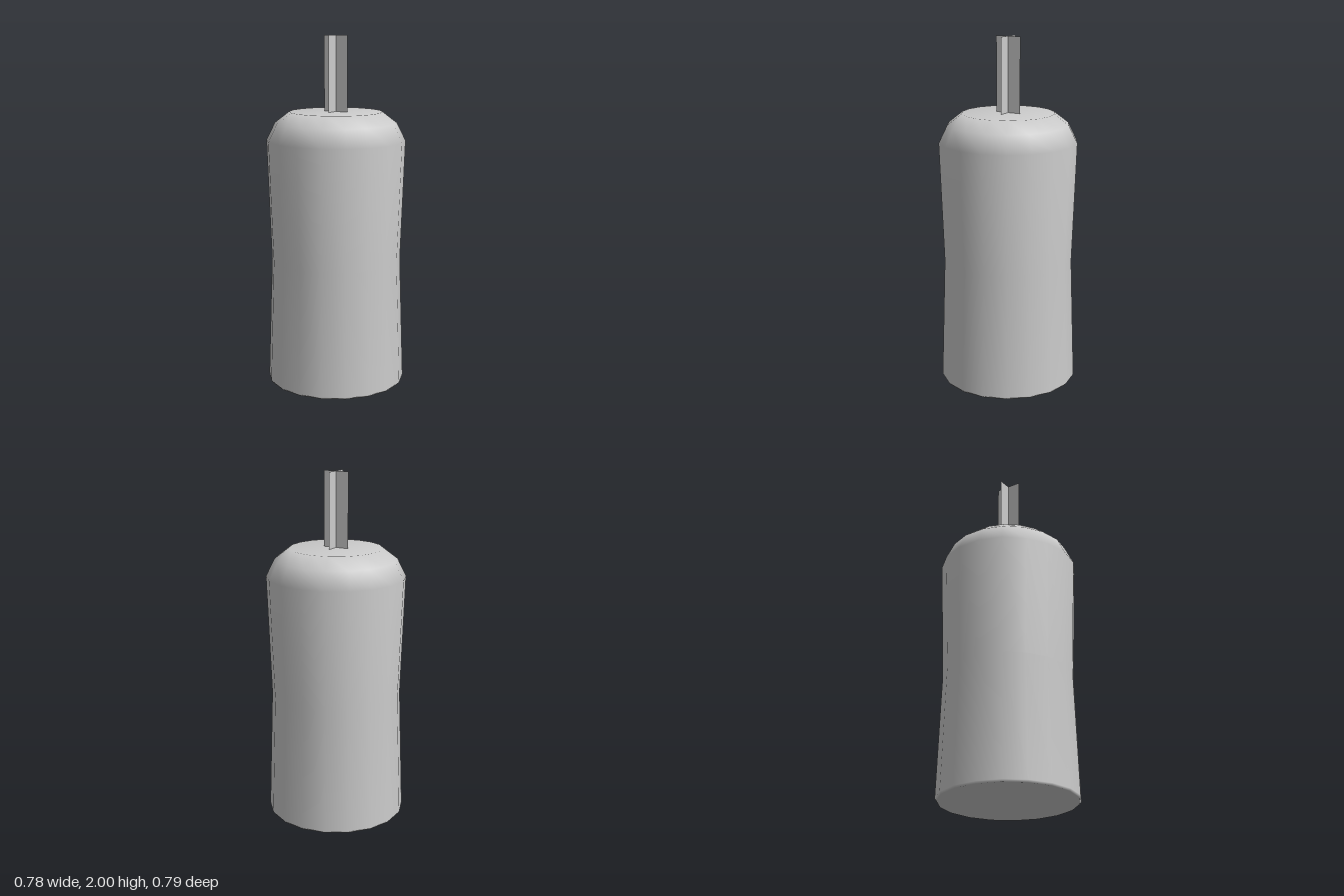
import * as THREE from 'three';

export function createModel() {
  const group = new THREE.Group();
  const wax = new THREE.MeshStandardMaterial({ color: 0xcccccc });
  const thin = new THREE.MeshStandardMaterial({ color: 0xcccccc, side: THREE.DoubleSide });

  // Waisted candle body with a bevelled shoulder, 18 sides
  const profile = [
    [0, 0], [0.385, 0], [0.394, 0.012], [0.37, 0.72],
    [0.394, 1.41], [0.345, 1.51], [0.263, 1.573], [0, 1.573],
  ].map(([r, y]) => new THREE.Vector2(r, y));
  const body = new THREE.Mesh(new THREE.LatheGeometry(profile, 18), wax);
  body.name = 'candleBody';
  body.scale.x = 1.008;
  group.add(body);

  // Wick: two crossed upright planes
  const wick = new THREE.Group();
  wick.name = 'wick';
  const bottom = 1.57, height = 2 - bottom;
  for (let i = 0; i < 2; i++) {
    const blade = new THREE.Mesh(new THREE.PlaneGeometry(0.155, height), thin);
    blade.name = 'wickBlade' + (i + 1);
    blade.position.y = bottom + height / 2;
    blade.rotation.y = i * Math.PI / 2;
    wick.add(blade);
  }
  group.add(wick);

  return group;
}
